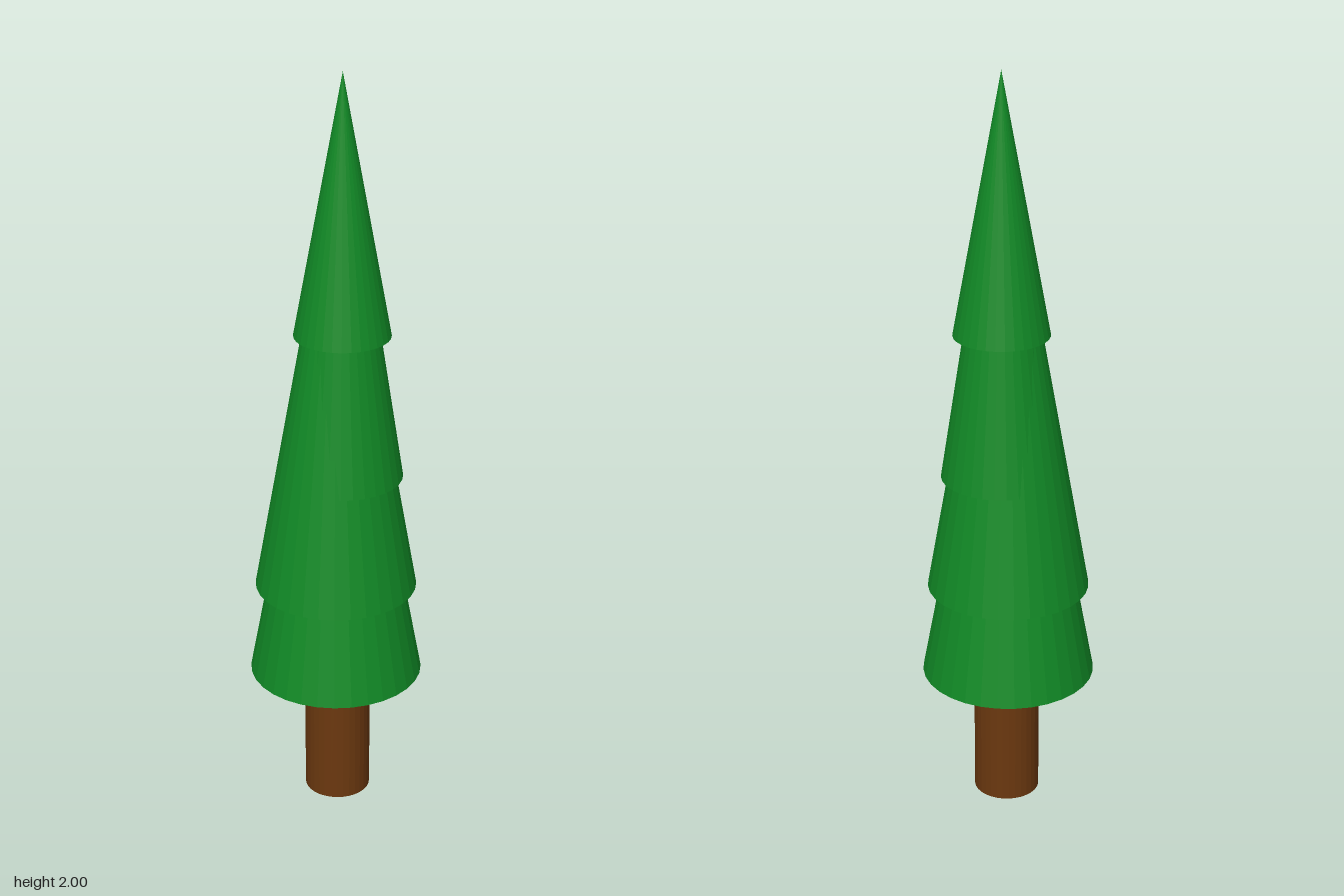
import * as THREE from 'three';

export function createModel() {
  const tree = new THREE.Group();
  tree.name = 'coniferTree';

  const foliage = new THREE.MeshStandardMaterial({ color: 0x118a26, flatShading: true });
  foliage.name = 'foliageGreen';
  const bark = new THREE.MeshStandardMaterial({ color: 0x6b380f, flatShading: true });
  bark.name = 'barkBrown';

  // Trunk, running a little way into the lowest tier
  const trunkHeight = 0.45;
  const trunk = new THREE.Mesh(new THREE.CylinderGeometry(0.088, 0.088, trunkHeight, 32), bark);
  trunk.name = 'trunk';
  trunk.position.set(0.003, trunkHeight / 2, 0.004);
  tree.add(trunk);

  // Overlapping cones, lowest first; the upper two sit slightly off centre
  const tiers = [
    { name: 'bottomTier', x: 0, z: 0, base: 0.37, tip: 1.59, radius: 0.23 },
    { name: 'lowerMiddleTier', x: 0, z: 0, base: 0.623, tip: 1.82, radius: 0.214 },
    { name: 'upperMiddleTier', x: 0.015, z: 0.003, base: 0.937, tip: 1.96, radius: 0.16 },
    { name: 'topTier', x: 0.016, z: 0.004, base: 1.325, tip: 2, radius: 0.125 },
  ];
  for (const { name, x, z, base, tip, radius } of tiers) {
    const tier = new THREE.Mesh(new THREE.ConeGeometry(radius, tip - base, 32), foliage);
    tier.name = name;
    tier.position.set(x, (base + tip) / 2, z);
    tree.add(tier);
  }

  return tree;
}
